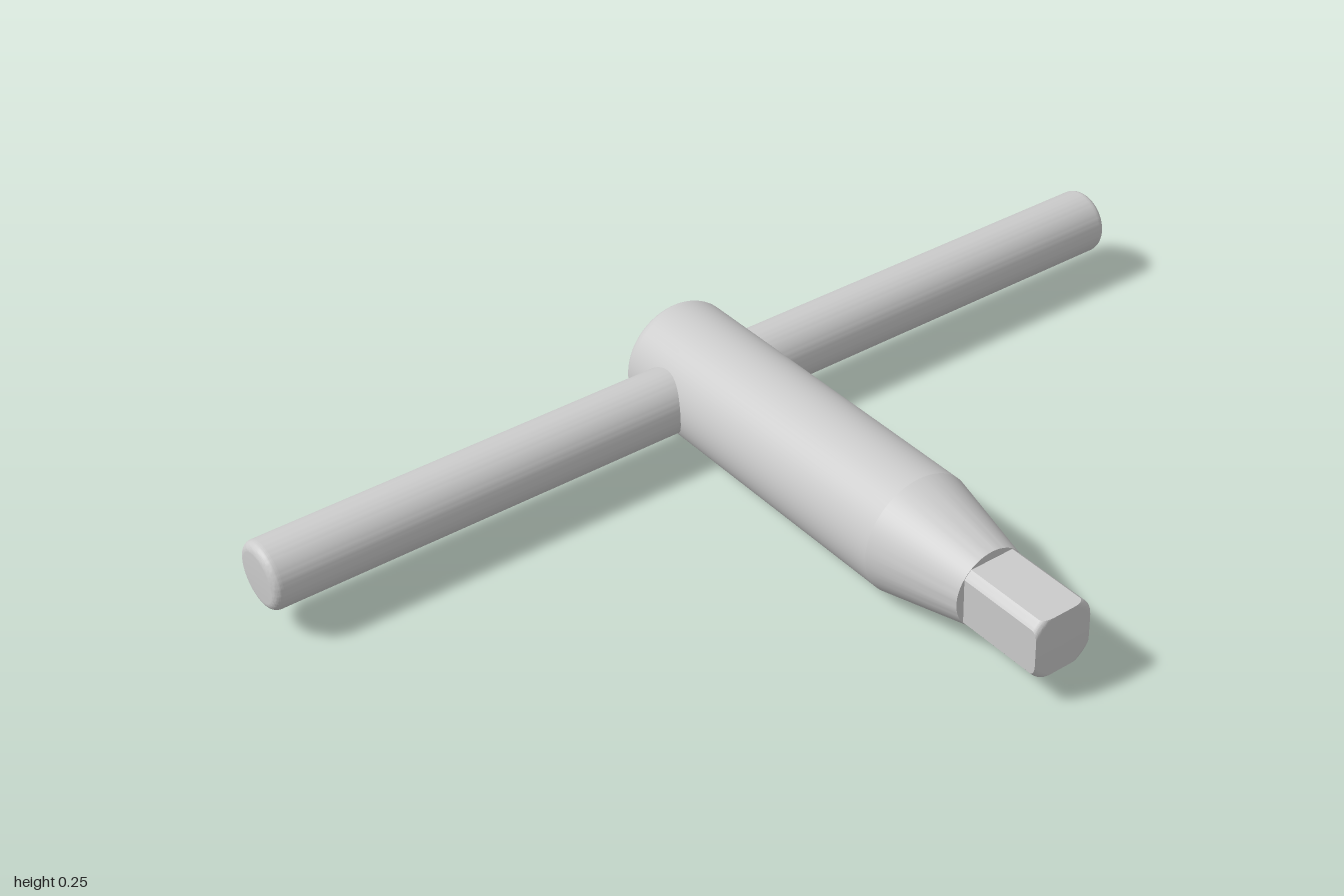
import * as THREE from 'three';
import { toCreasedNormals } from 'three/addons/utils/BufferGeometryUtils.js';

const AXIS_Y = 0.124;
const CREASE = 0.19;
const material = new THREE.MeshStandardMaterial({ color: 0xcccccc });

// Quarter-round profile points; dir -1 opens a rod at its low end, +1 closes it at its high end
function fillet(end, radius, f, dir, steps = 10) {
  const pts = [];
  for (let i = 0; i <= steps; i++) {
    const a = ((dir < 0 ? steps - i : i) / steps) * Math.PI / 2;
    pts.push(new THREE.Vector2(radius - f + f * Math.cos(a), end + dir * f * (Math.sin(a) - 1)));
  }
  return pts;
}

function turned(profile) {
  return toCreasedNormals(new THREE.LatheGeometry(profile, 72), CREASE);
}

// Square with round corners: a rod of radius r cut by four flats, with a softened tip
function driveGeometry(half, r, z0, z1, f) {
  const sections = [[r, z0], ...fillet(z1, r, f, 1, 10).map(p => [p.x, p.y])];
  const arc = 6, count = 4 * (arc + 1), pos = [], index = [];
  for (const [radius, z] of sections) {
    const a = Math.acos(Math.min(1, half / radius));
    for (let q = 0; q < 4; q++) {
      for (let k = 0; k <= arc; k++) {
        const t = q * Math.PI / 2 + a + (Math.PI / 2 - 2 * a) * k / arc;
        pos.push(radius * Math.cos(t), radius * Math.sin(t), z);
      }
    }
  }
  for (let j = 0; j < sections.length - 1; j++) {
    for (let i = 0; i < count; i++) {
      const n = (i + 1) % count;
      const a = j * count + i, b = j * count + n;
      index.push(a, b, b + count, a, b + count, a + count);
    }
  }
  // Flat tip
  const last = (sections.length - 1) * count, centre = pos.length / 3;
  pos.push(0, 0, z1);
  for (let i = 0; i < count; i++) index.push(centre, last + i, last + (i + 1) % count);
  const g = new THREE.BufferGeometry();
  g.setAttribute('position', new THREE.Float32BufferAttribute(pos, 3));
  g.setIndex(index);
  return toCreasedNormals(g, CREASE);
}

export function createModel() {
  const group = new THREE.Group();
  group.name = 'teeHandleKey';
  const add = (name, geometry) => {
    const mesh = new THREE.Mesh(geometry, material);
    mesh.name = name;
    mesh.position.y = AXIS_Y;
    group.add(mesh);
    return mesh;
  };

  // Round body with a softened back end and a tapered nose
  const body = turned([
    new THREE.Vector2(0, -0.575),
    ...fillet(-0.575, 0.124, 0.024, -1),
    new THREE.Vector2(0.124, 0.187),
    new THREE.Vector2(0.08, 0.387),
    new THREE.Vector2(0, 0.387),
  ]);
  add('body', body.rotateX(Math.PI / 2));

  // Square drive end
  add('squareDrive', driveGeometry(0.063, 0.079, 0.38, 0.575, 0.0125));

  // Sliding cross bar through the body
  const bar = turned([
    new THREE.Vector2(0, -1),
    ...fillet(-1, 0.068, 0.018, -1),
    ...fillet(1, 0.068, 0.018, 1),
    new THREE.Vector2(0, 1),
  ]);
  add('crossBar', bar.rotateZ(Math.PI / 2)).position.z = -0.449;

  return group;
}
